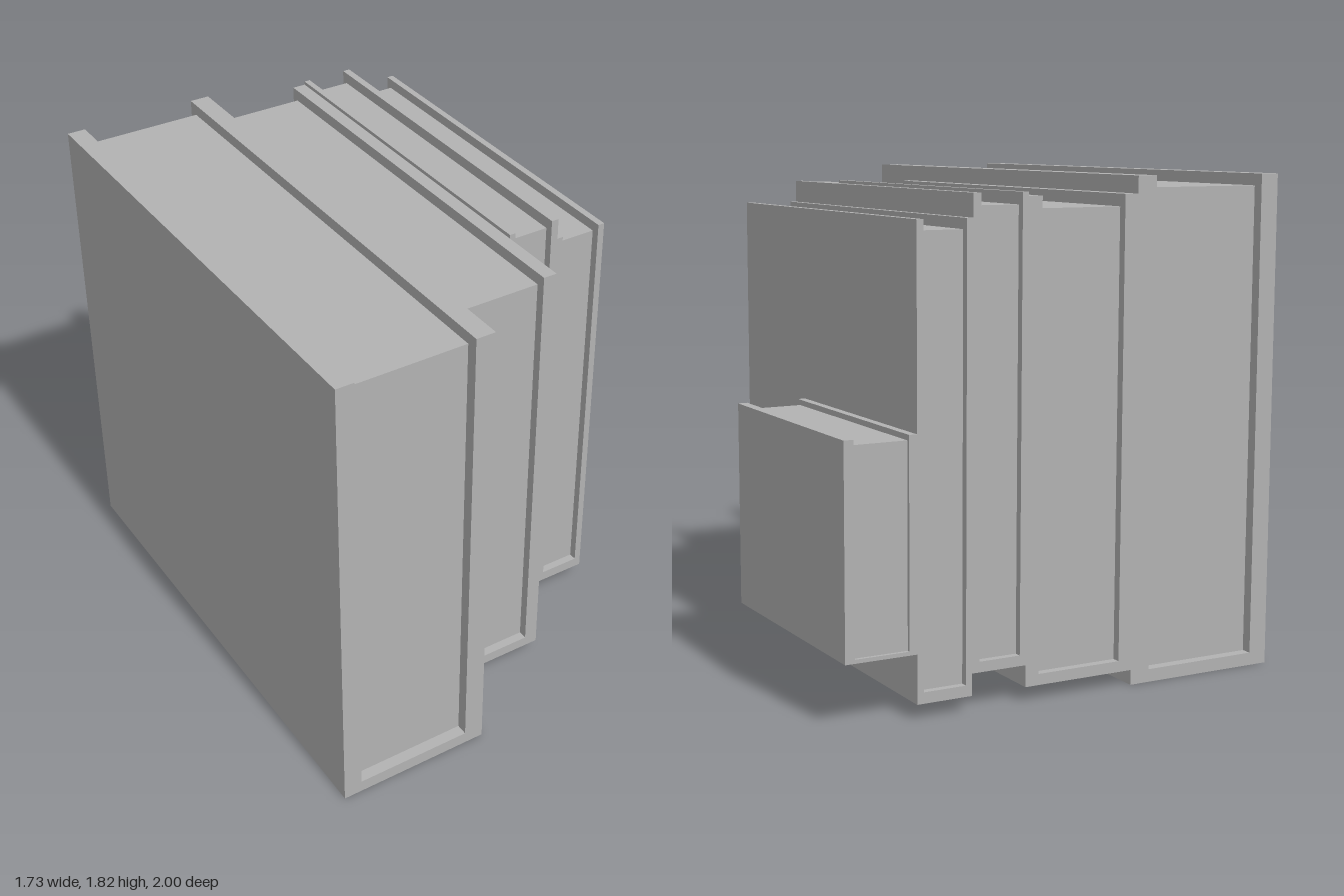
import * as THREE from 'three';

const grey = new THREE.MeshStandardMaterial({ color: 0xb2b2b2 });
grey.name = 'grey';

const BACK = -1;

// x: outer left, inner left, inner right, outer right
// y: spine bottom, spine top, page top, cover top
// z: page back, page front, cover front
const books = [
  { name: 'largeBook', x: [-0.864, -0.793, -0.34, -0.264], y: [0, 0.047, 1.773, 1.816], z: [-0.96, 0.955, 1] },
  { name: 'mediumBook', x: [-0.264, -0.211, 0.121, 0.174], y: [0.055, 0.095, 1.71, 1.754], z: [-0.968, 0.7, 0.735] },
  { name: 'raisedThinBook', x: [0.174, 0.198, 0.357, 0.386], y: [0.134, 0.172, 1.725, 1.768], z: [-0.973, 0.425, 0.456] },
  { name: 'thinBook', x: [0.386, 0.41, 0.571, 0.597], y: [0.055, 0.095, 1.648, 1.686], z: [-0.973, 0.425, 0.456] },
  { name: 'smallBook', x: [0.597, 0.626, 0.828, 0.864], y: [0.23, 0.244, 0.96, 0.98], z: [-0.987, -0.111, -0.09] },
];

function makeBook({ name, x, y, z }) {
  const book = new THREE.Group();
  book.name = name;

  // U-shaped cover: two boards joined by the spine along the bottom
  const outline = new THREE.Shape([
    [x[0], y[0]], [x[3], y[0]], [x[3], y[3]], [x[2], y[3]],
    [x[2], y[1]], [x[1], y[1]], [x[1], y[3]], [x[0], y[3]],
  ].map(([px, py]) => new THREE.Vector2(px, py)));
  const cover = new THREE.Mesh(
    new THREE.ExtrudeGeometry(outline, { depth: z[2] - BACK, bevelEnabled: false }), grey);
  cover.position.z = BACK;
  cover.name = 'cover';

  // Page block, set in from the cover's open edges
  const pages = new THREE.Mesh(
    new THREE.BoxGeometry(x[2] - x[1], y[2] - y[1], z[1] - z[0]), grey);
  pages.position.set((x[1] + x[2]) / 2, (y[1] + y[2]) / 2, (z[0] + z[1]) / 2);
  pages.name = 'pages';

  book.add(cover, pages);
  return book;
}

export function createModel() {
  const model = new THREE.Group();
  model.name = 'bookRow';
  for (const spec of books) model.add(makeBook(spec));
  return model;
}
